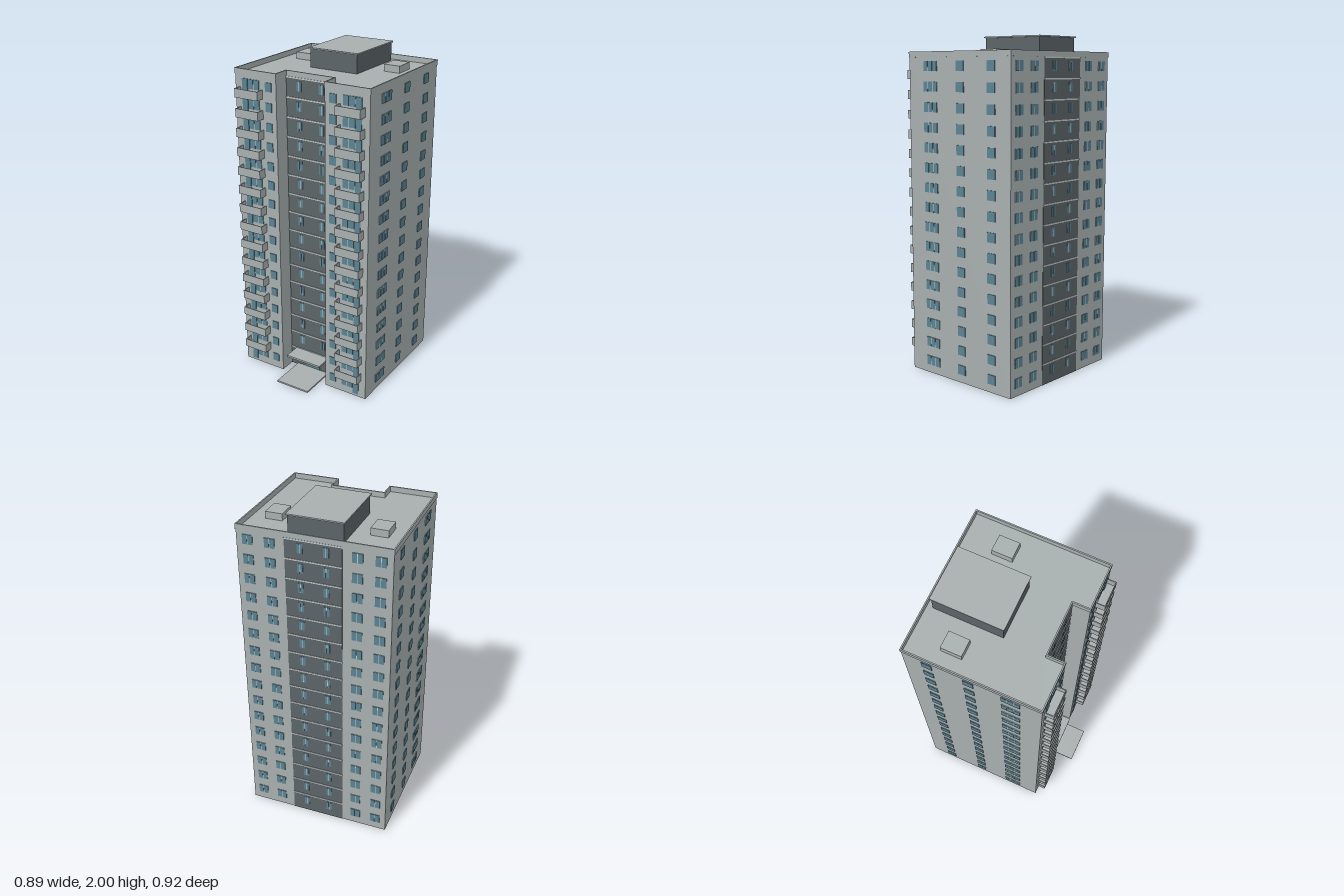
import * as THREE from 'three';
import { mergeGeometries } from 'three/addons/utils/BufferGeometryUtils.js';

const FLOORS = 16, PITCH = 0.117;
const HALF = 0.441, BACK = -0.457, FRONT = 0.327, RECESS = 0.225, NOTCH = 0.16;

const material = (name, color) => {
  const m = new THREE.MeshStandardMaterial({ color });
  m.name = name;
  return m;
};

// Box from its minimum and maximum corners
const span = (x0, x1, y0, y1, z0, z1) =>
  new THREE.BoxGeometry(x1 - x0, y1 - y0, z1 - z0)
    .translate((x0 + x1) / 2, (y0 + y1) / 2, (z0 + z1) / 2);

// Footprint with the front notch, moved outwards by d
function footprint(d, Type = THREE.Shape) {
  const w = HALF + d, n = NOTCH - d, f = -(FRONT + d), r = -(RECESS + d), b = -(BACK - d);
  return new Type([[-w, f], [-n, f], [-n, r], [n, r], [n, f], [w, f], [w, b], [-w, b]]
    .map(([x, y]) => new THREE.Vector2(x, y)));
}

const extrudeUp = (shape, y0, y1) =>
  new THREE.ExtrudeGeometry(shape, { depth: y1 - y0, bevelEnabled: false })
    .rotateX(-Math.PI / 2).translate(0, y0, 0);

// Thin plate on a facade: u runs along the wall
function plate(face, u0, u1, y0, y1, t) {
  if (face === 'front') return span(u0, u1, y0, y1, FRONT - 0.002, FRONT + t);
  if (face === 'recess') return span(u0, u1, y0, y1, RECESS - 0.002, RECESS + t);
  if (face === 'back') return span(u0, u1, y0, y1, BACK - t, BACK + 0.002);
  if (face === 'left') return span(HALF - 0.002, HALF + t, y0, y1, u0, u1);
  return span(-HALF - t, -HALF + 0.002, y0, y1, u0, u1);
}

export function createModel() {
  const group = new THREE.Group();
  group.name = 'towerBlock';
  const wall = material('concrete grey', 0xa8afaf);
  const dark = material('dark cladding', 0x5b6467);
  const glass = material('blue glass', 0x5b8392);
  const light = material('pale trim', 0xc3c9c9);

  const add = (name, geometries, mat) => {
    const mesh = new THREE.Mesh(mergeGeometries(geometries), mat);
    mesh.name = name;
    group.add(mesh);
  };

  // Main block and roof parapet
  add('body', [extrudeUp(footprint(0), 0, 1.883)], wall);
  const rim = footprint(0.003);
  rim.holes.push(footprint(-0.005, THREE.Path));
  add('parapet', [extrudeUp(rim, 1.883, 1.915)], wall);

  // Dark vertical bands in the front recess and on the back
  add('claddingBands', [
    plate('recess', -NOTCH, NOTCH, 0, 1.88, 0.002),
    plate('back', -0.163, 0.163, 0, 1.88, 0.002),
  ], dark);

  // Floor strips across the dark bands
  const strips = [];
  for (let i = 1; i <= FLOORS; i++) {
    const y = 0.003 + i * PITCH;
    strips.push(plate('recess', -NOTCH, NOTCH, y, y + 0.008, 0.006));
    strips.push(plate('back', -0.163, 0.163, y, y + 0.008, 0.005));
  }
  add('floorStrips', strips, light);

  // Windows: pale backing plate with evenly split panes in front
  const panes = [], frames = [];
  function windowAt(face, u0, u1, y0, y1, count) {
    const gap = 0.004, w = (u1 - u0 - gap * (count - 1)) / count;
    if (count > 1) frames.push(plate(face, u0, u1, y0, y1, 0.003));
    for (let k = 0; k < count; k++) {
      const u = u0 + k * (w + gap);
      panes.push(plate(face, u, u + w, y0, y1, 0.0045));
    }
  }
  for (let i = 0; i < FLOORS; i++) {
    const y0 = 0.05 + i * PITCH, y1 = y0 + 0.056;
    for (const s of [-1, 1]) {
      const pair = (face, a, b, low, high, n) =>
        windowAt(face, Math.min(s * a, s * b), Math.max(s * a, s * b), low, high, n);
      // Balcony door, living room window and small window
      pair('front', 0.356, 0.393, y0 - 0.034, y1, 1);
      pair('front', 0.276, 0.352, y0, y1, 2);
      pair('front', 0.19, 0.233, y0, y1 - 0.004, 1);
      if (i > 0) pair('recess', 0.058, 0.09, y0, y1, 2);
      pair('back', 0.058, 0.09, y0, y1, 2);
      pair('back', 0.217, 0.277, y0, y1, 2);
      pair('back', 0.345, 0.405, y0, y1, 2);
      const side = s > 0 ? 'left' : 'right';
      windowAt(side, 0.1, 0.206, y0, y1, 3);
      windowAt(side, -0.112, -0.054, y0, y1, 1);
      windowAt(side, -0.346, -0.288, y0, y1, 1);
    }
  }
  add('windowFrames', frames, light);

  // Entrance doors
  panes.push(plate('recess', -0.053, -0.002, 0.012, 0.108, 0.005));
  panes.push(plate('recess', 0.002, 0.053, 0.012, 0.108, 0.005));
  add('windowPanes', panes, glass);

  // Open balconies: floor, front panel and two ends
  const balconies = [];
  for (let i = 1; i < FLOORS; i++) {
    const y0 = 0.003 + i * PITCH, y1 = y0 + 0.052, t = 0.005;
    for (const s of [-1, 1]) {
      const x0 = s > 0 ? 0.253 : -0.411, x1 = x0 + 0.158;
      balconies.push(
        span(x0, x1, y0, y0 + 0.007, FRONT, 0.38),
        span(x0, x1, y0 + 0.007, y1, 0.38 - t, 0.38),
        span(x0, x0 + t, y0 + 0.007, y1, FRONT, 0.38 - t),
        span(x1 - t, x1, y0 + 0.007, y1, FRONT, 0.38 - t));
    }
  }
  add('balconies', balconies, wall);

  // Entrance canopy and step
  add('entranceCanopy', [span(-0.12, 0.12, 0.113, 0.125, RECESS, 0.339)], wall);
  add('entranceStep', [span(-0.112, 0.112, 0, 0.01, RECESS, 0.46)], wall);

  // Rooftop plant room with thin roof, and two vents
  add('plantRoom', [span(-0.157, 0.157, 1.88, 1.992, -0.418, -0.016)], dark);
  add('plantRoomRoof', [span(-0.164, 0.164, 1.992, 2, -0.425, -0.009)], wall);
  add('roofVents', [
    span(0.251, 0.352, 1.88, 1.924, -0.277, -0.157),
    span(-0.352, -0.251, 1.88, 1.924, -0.277, -0.157),
  ], wall);

  return group;
}
